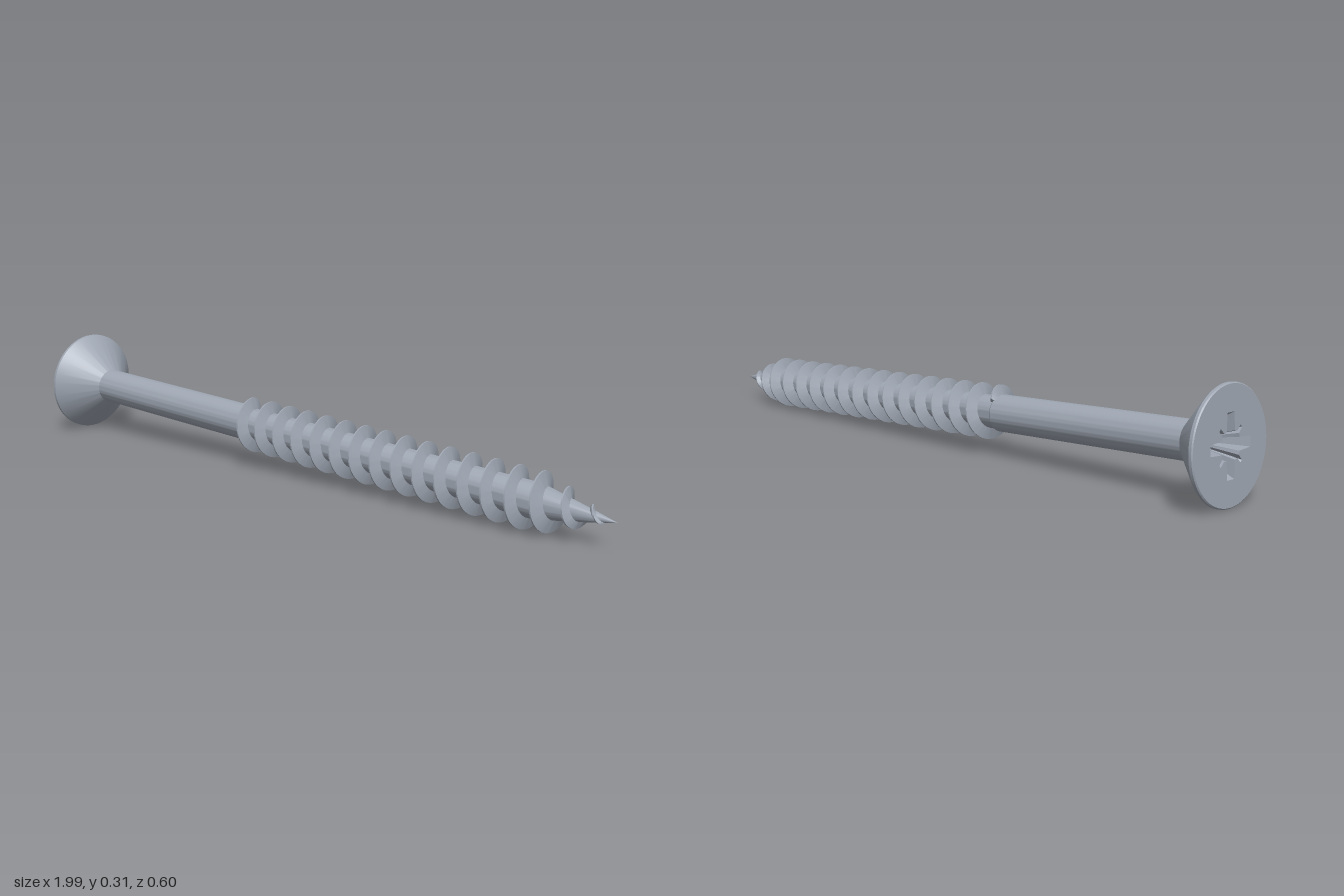
import * as THREE from 'three';
import { toCreasedNormals } from 'three/addons/utils/BufferGeometryUtils.js';

// Built along local +Y (head face at y = 0, tip at LENGTH), then laid on the ground.
const LENGTH = 2.005, HEAD_R = 0.155, SHANK_R = 0.053, CORE_R = 0.047, THREAD_R = 0.08;
const THREAD_START = 0.765, THREAD_END = 1.965, PITCH = 0.0725, CREST_AT = 0.991;
const { lerp, smoothstep } = THREE.MathUtils;

// Profile of the threaded core: [radius, distance along the axis]
const CORE = [[CORE_R, 0.76], [CORE_R, 1.78], [0.016, 1.935], [0.0, LENGTH]];

function coreRadius(s) {
  for (let i = 1; i < CORE.length; i++) {
    const [r0, s0] = CORE[i - 1], [r1, s1] = CORE[i];
    if (s <= s1) return lerp(r0, r1, Math.max(0, (s - s0) / (s1 - s0)));
  }
  return 0;
}

function meshFrom(positions, index) {
  const g = new THREE.BufferGeometry();
  g.setAttribute('position', new THREE.Float32BufferAttribute(positions, 3));
  g.setIndex(index);
  return toCreasedNormals(g, 0.6);
}

function revolve(points) {
  const g = new THREE.LatheGeometry(points.map(p => new THREE.Vector2(...p)), 64);
  return toCreasedNormals(g, 0.4);
}

// Helical ridge with a narrow crest, swept ring by ring
function threadGeometry() {
  const pos = [], index = [];
  const steps = Math.round((THREAD_END - THREAD_START) / PITCH * 48);
  for (let k = 0; k <= steps; k++) {
    const s = lerp(THREAD_START, THREAD_END, k / steps);
    const phi = (s - CREST_AT) / PITCH * Math.PI * 2;
    const base = Math.max(0.002, coreRadius(s) - 0.003);
    const taper = Math.min(1, Math.max(0, (s - 1.8) / (THREAD_END - 1.8)));
    const grow = smoothstep(s, THREAD_START - 0.008, THREAD_START + 0.008);
    const crest = lerp(base, lerp(THREAD_R, 0.014, taper), grow);
    const half = lerp(0.015, 0.008, taper);
    for (const [r, off] of [[base, -half], [crest, -0.002], [crest, 0.002], [base, half]])
      pos.push(r * Math.cos(phi), s + off, -r * Math.sin(phi));
    if (k < steps) for (let i = 0; i < 3; i++) {
      const a = k * 4 + i, b = a + 4;
      index.push(a, b, a + 1, b, b + 1, a + 1);
    }
  }
  const e = steps * 4;
  index.push(0, 1, 2, 0, 2, 3, e, e + 2, e + 1, e, e + 3, e + 2);
  return meshFrom(pos, index);
}

// Cross with a small notch between each pair of arms
function crossOutline(scale) {
  const quarter = [[0.083, -0.014], [0.083, 0.014], [0.036, 0.017], [0.034, 0.027],
    [0.047, 0.041], [0.041, 0.047], [0.027, 0.034], [0.017, 0.036]];
  const out = [];
  for (let q = 0; q < 4; q++)
    for (const p of quarter)
      out.push(new THREE.Vector2(...p).multiplyScalar(scale).rotateAround(new THREE.Vector2(), q * Math.PI / 2));
  return out;
}

// Tapered walls of the driver recess, facing inward
function recessWalls(top, bottom, depth) {
  const pos = [], index = [], n = top.length;
  top.forEach((p, i) => {
    pos.push(p.x, 0, p.y, bottom[i].x, depth, bottom[i].y);
    const a = i * 2, b = ((i + 1) % n) * 2;
    index.push(a, b, a + 1, b, b + 1, a + 1);
  });
  return meshFrom(pos, index);
}

export function createModel() {
  const steel = new THREE.MeshStandardMaterial({ color: 0x9ea6b2 });
  steel.name = 'steel';
  const screw = new THREE.Group();
  screw.name = 'screw';
  const add = (name, geometry) => {
    const m = new THREE.Mesh(geometry, steel);
    m.name = name;
    screw.add(m);
    return m;
  };

  // Countersunk head with a thin rim
  add('head', revolve([[0.152, 0], [HEAD_R, 0.003], [HEAD_R, 0.011], [0.15, 0.018], [SHANK_R, 0.112]]));

  // Flat head face with the recess cut out
  const top = crossOutline(1), bottom = crossOutline(0.5), depth = 0.075;
  const face = new THREE.Shape().absarc(0, 0, 0.152, 0, Math.PI * 2);
  face.holes.push(new THREE.Path(top));
  add('headFace', new THREE.ShapeGeometry(face, 32).rotateX(Math.PI / 2));
  add('recessWalls', recessWalls(top, bottom, depth));
  add('recessFloor', new THREE.ShapeGeometry(new THREE.Shape(bottom)).rotateX(Math.PI / 2).translate(0, depth, 0));

  // Smooth shank, stepping down to the core
  add('shank', revolve([[SHANK_R, 0.112], [SHANK_R, 0.762], [CORE_R, 0.77]]));

  // Threaded core with pointed tip, and its thread
  add('core', revolve(CORE));
  add('thread', threadGeometry());

  // Lay the screw down, resting on head rim and thread
  const axis = new THREE.Vector3(1.957, -0.086, 0.415).normalize();
  const up = new THREE.Vector3(0, 1, 0).addScaledVector(axis, -axis.y).normalize();
  const side = new THREE.Vector3().crossVectors(up, axis);
  screw.quaternion.setFromRotationMatrix(new THREE.Matrix4().makeBasis(up, axis, side));
  screw.position.set(-0.966, 0.156, -0.151);

  const model = new THREE.Group();
  model.name = 'woodScrew';
  model.add(screw);
  return model;
}
